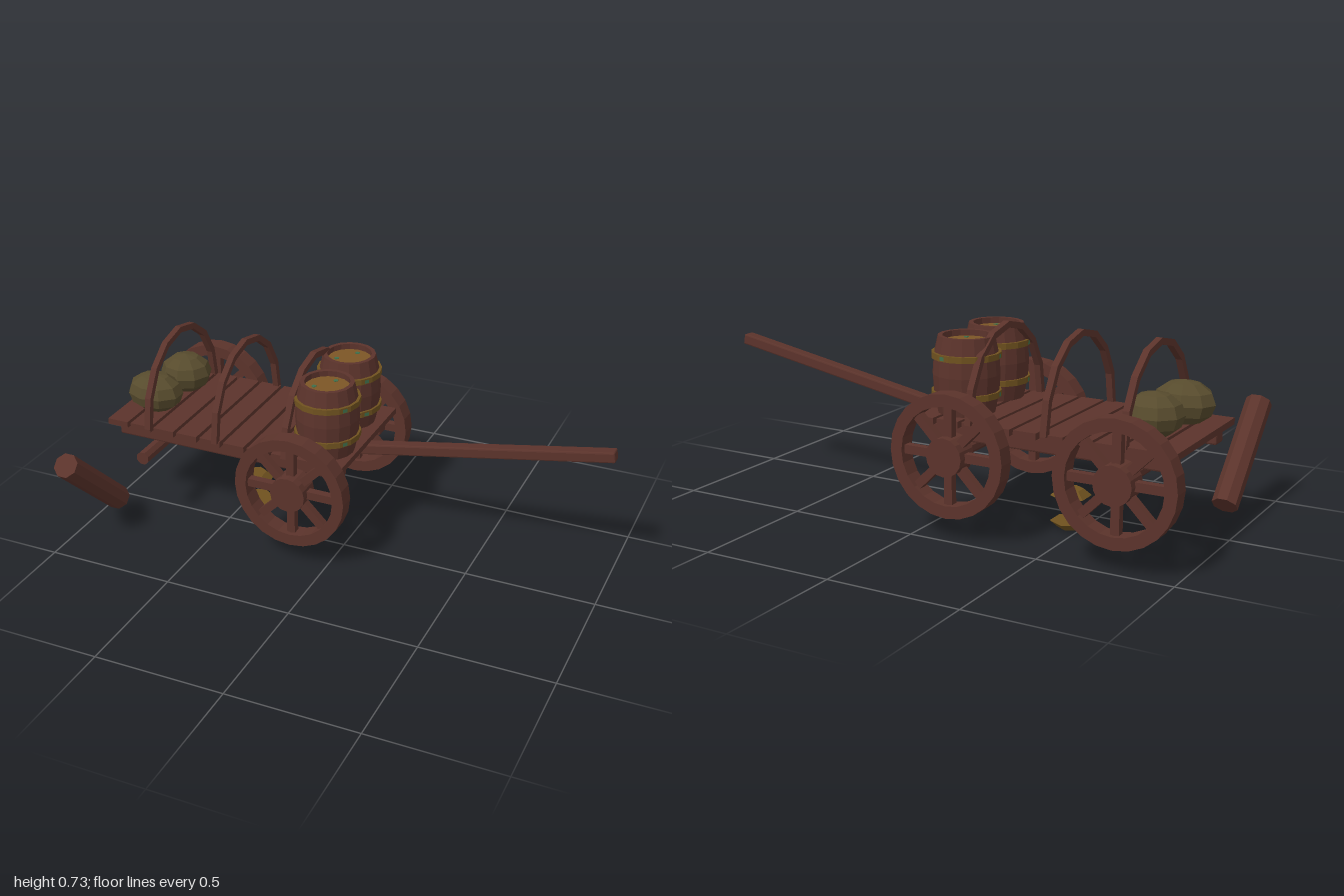
import * as THREE from 'three';
import { RoundedBoxGeometry } from 'three/addons/geometries/RoundedBoxGeometry.js';

const MID = -0.148; // centre line of the cart along z

export function createModel() {
  const root = new THREE.Group();
  root.name = 'cart';

  const mat = (name, color) => {
    const m = new THREE.MeshStandardMaterial({ color, flatShading: true });
    m.name = name;
    return m;
  };
  const wood = mat('wood', 0x5b332b);
  const brass = mat('brass', 0x70521f);
  const lidWood = mat('lidWood', 0x7c5626);
  const patina = mat('patina', 0x40704c);
  const sackCloth = mat('sackCloth', 0x574b2d);

  const add = (parent, name, geo, material, x = 0, y = 0, z = 0) => {
    const m = new THREE.Mesh(geo, material);
    m.name = name;
    m.position.set(x, y, z);
    parent.add(m);
    return m;
  };
  const lathe = (pts, n) => new THREE.LatheGeometry(pts.map(p => new THREE.Vector2(...p)), n);

  // Deck planks
  for (let i = 0; i < 10; i++) {
    add(root, 'plank', new THREE.BoxGeometry(0.087, 0.024, 0.535), wood, -0.914 + i * 0.1015, 0.399, MID);
  }

  // Beams under the deck
  for (const s of [-1, 1]) {
    add(root, 'beam', new RoundedBoxGeometry(0.95, 0.055, 0.065, 1, 0.007), wood, -0.457, 0.358, MID + s * 0.194);
  }

  // Axles
  for (const [x, front] of [[-0.775, 0.18], [-0.14, 0.18]]) {
    const geo = new THREE.CylinderGeometry(0.027, 0.027, front + 0.48, 8).rotateY(Math.PI / 8).rotateX(Math.PI / 2);
    add(root, 'axle', geo, wood, x, 0.302, (front - 0.48) / 2);
  }

  // Wheels: rim, hub and eight spokes; the near rear one has come off
  const rimGeo = lathe([[0.223, -0.033], [0.223, 0.033], [0.178, 0.033], [0.178, -0.033], [0.223, -0.033]], 24)
    .rotateX(Math.PI / 2);
  const hubGeo = new THREE.CylinderGeometry(0.07, 0.07, 0.09, 16).rotateX(Math.PI / 2);
  const spokeGeo = new THREE.BoxGeometry(0.032, 0.14, 0.03).translate(0, 0.12, 0);
  for (const [x, z] of [[-0.775, -0.46], [-0.14, -0.46], [-0.14, 0.164]]) {
    const wheel = new THREE.Group();
    wheel.name = 'wheel';
    wheel.position.set(x, 0.302, z);
    add(wheel, 'rim', rimGeo, wood);
    add(wheel, 'hub', hubGeo, wood);
    for (let i = 0; i < 8; i++) add(wheel, 'spoke', spokeGeo, wood).rotation.z = i * Math.PI / 4;
    root.add(wheel);
  }

  // Pulling pole
  const a = new THREE.Vector2(0.0, 0.36), b = new THREE.Vector2(0.99, 0.543);
  const pole = add(root, 'pole', new RoundedBoxGeometry(a.distanceTo(b), 0.042, 0.048, 1, 0.006), wood,
    (a.x + b.x) / 2, (a.y + b.y) / 2, MID);
  pole.rotation.z = Math.atan2(b.y - a.y, b.x - a.x);

  // Canopy bows: half ellipses of eight straight pieces
  const arch = new THREE.Shape();
  const arc = (w, h, i) => [w * Math.cos(i * Math.PI / 8), h * Math.sin(i * Math.PI / 8)];
  arch.moveTo(0.28, 0);
  for (let i = 1; i <= 8; i++) arch.lineTo(...arc(0.28, 0.322, i));
  for (let i = 8; i >= 0; i--) arch.lineTo(...arc(0.255, 0.298, i));
  const bowGeo = new THREE.ExtrudeGeometry(arch, { depth: 0.024, bevelEnabled: false })
    .translate(0, 0, -0.012).rotateY(Math.PI / 2);
  for (const x of [-0.775, -0.483, -0.19]) add(root, 'bow', bowGeo, wood, x, 0.405, MID);

  // Barrels with two hoops, a sunken lid and patches of patina
  const staves = lathe([[0, 0], [0.103, 0], [0.117, 0.07], [0.122, 0.14], [0.117, 0.21], [0.102, 0.278],
    [0.086, 0.278], [0.086, 0.25]], 16);
  const hoopGeo = lathe([[0.115, -0.011], [0.126, -0.011], [0.126, 0.011], [0.115, 0.011]], 16);
  const seg = Math.PI / 8;
  for (const [x, z, turn] of [[-0.072, -0.012, 0], [-0.094, -0.267, 0]]) {
    const barrel = new THREE.Group();
    barrel.name = 'barrel';
    barrel.position.set(x, 0.411, z);
    barrel.rotation.y = turn;
    add(barrel, 'staves', staves, wood);
    add(barrel, 'lid', new THREE.CylinderGeometry(0.087, 0.087, 0.008, 16), lidWood, 0, 0.252, 0);
    for (const y of [0.07, 0.209]) {
      add(barrel, 'hoop', hoopGeo, brass, 0, y, 0);
      for (const k of [2, 7, 12]) {
        add(barrel, 'hoopPatina', new THREE.CylinderGeometry(0.127, 0.127, 0.014, 1, 1, true, k * seg + 0.1, 0.15),
          patina, 0, y, 0);
      }
    }
    for (const [px, pz] of [[0.03, 0.05], [-0.045, 0.02], [0.01, -0.055]]) {
      add(barrel, 'lidPatina', new THREE.CylinderGeometry(0.01, 0.01, 0.003, 5), patina, px, 0.257, pz);
    }
    root.add(barrel);
  }

  // Sacks: squashed faceted balls
  for (const [x, z, sx, sz, turn] of [[-0.805, -0.24, 0.104, 0.096, 0.3], [-0.828, -0.035, 0.115, 0.088, 0]]) {
    const sack = add(root, 'sack', new THREE.SphereGeometry(1, 9, 6), sackCloth, x, 0.486, z);
    sack.scale.set(sx, 0.08, sz);
    sack.rotation.y = turn;
  }

  // Loose log leaning beside the cart
  const log = add(root, 'log', new THREE.CylinderGeometry(0.049, 0.049, 0.452, 8).rotateY(Math.PI / 8), wood,
    -0.925, 0.23, 0.309);
  log.rotation.x = Math.atan2(0.325, 0.3145);

  // Lantern caps below the deck
  add(root, 'lanternTop', new THREE.CylinderGeometry(0.045, 0.075, 0.025, 6), brass, -0.455, 0.132, MID);
  add(root, 'lanternBase', new THREE.CylinderGeometry(0.075, 0.045, 0.025, 6), brass, -0.455, 0.0125, MID);

  return root;
}
